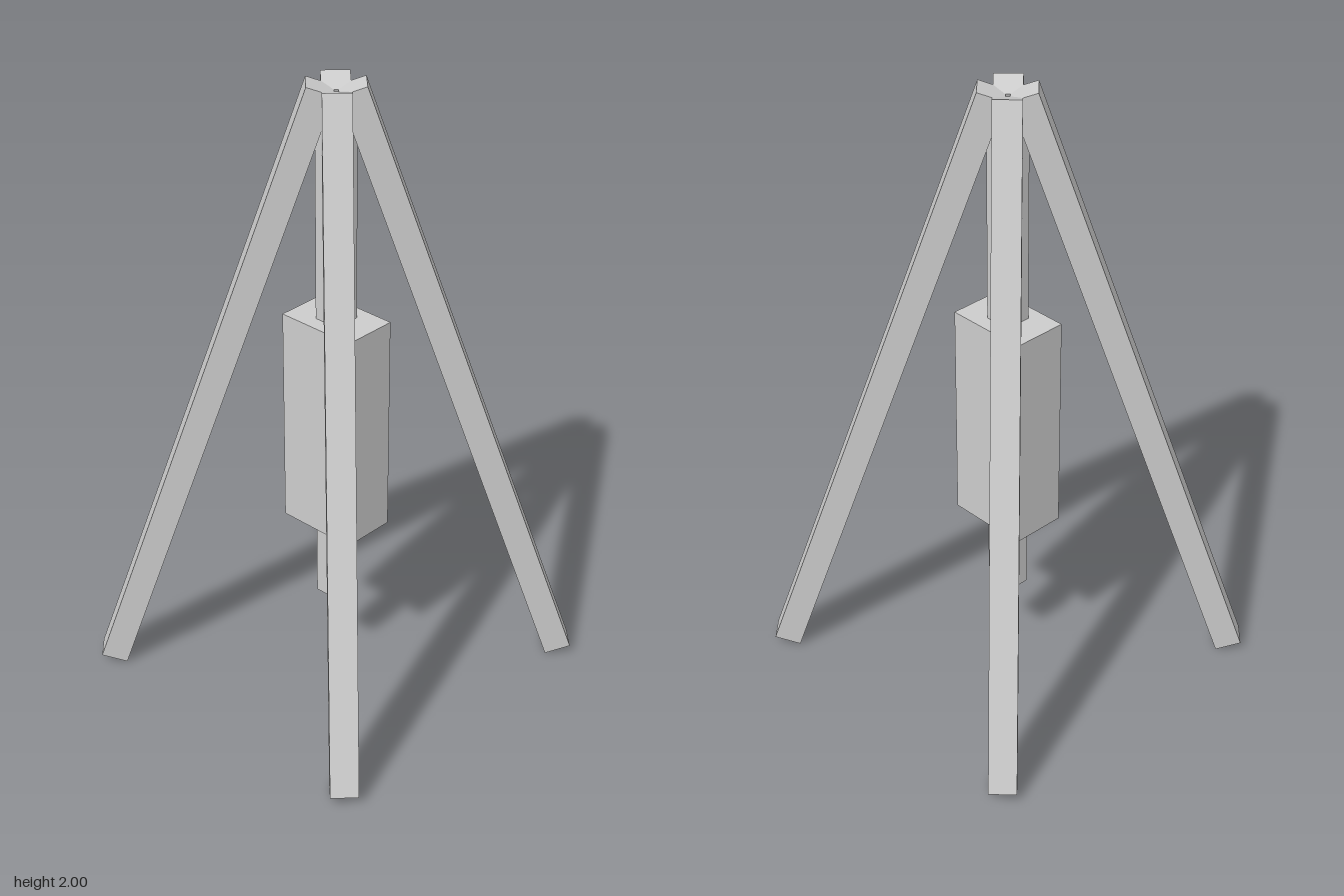
import * as THREE from 'three';

export function createModel() {
  const model = new THREE.Group();
  model.name = 'fourLeggedStand';

  const grey = new THREE.MeshStandardMaterial({ color: 0xcccccc });
  grey.name = 'plain grey';

  const box = (name, w, h, d, y) => {
    const mesh = new THREE.Mesh(new THREE.BoxGeometry(w, h, d), grey);
    mesh.name = name;
    mesh.position.y = y;
    return mesh;
  };

  // Four square legs leaning together at the top
  const foot = new THREE.Vector2(0.725, 0.014);
  const head = new THREE.Vector2(0.047, 1.986);
  const names = ['leftLeg', 'frontLeg', 'rightLeg', 'backLeg'];
  names.forEach((name, i) => {
    const leg = box(name, 0.085, foot.distanceTo(head), 0.087, (foot.y + head.y) / 2);
    leg.position.x = (foot.x + head.x) / 2;
    leg.rotation.z = Math.atan2(foot.x - head.x, head.y - foot.y);
    const pivot = new THREE.Group();
    pivot.name = name + 'Pivot';
    pivot.rotation.y = -i * Math.PI / 2;
    pivot.add(leg);
    model.add(pivot);
  });

  // Hanging post and block, turned diagonally between the legs
  const hanging = new THREE.Group();
  hanging.name = 'hangingWeight';
  hanging.rotation.y = Math.PI / 4;
  hanging.add(
    box('centrePost', 0.087, 1.705, 0.087, 1.0975),
    box('weightBlock', 0.183, 0.72, 0.273, 0.88)
  );
  model.add(hanging);

  return model;
}
